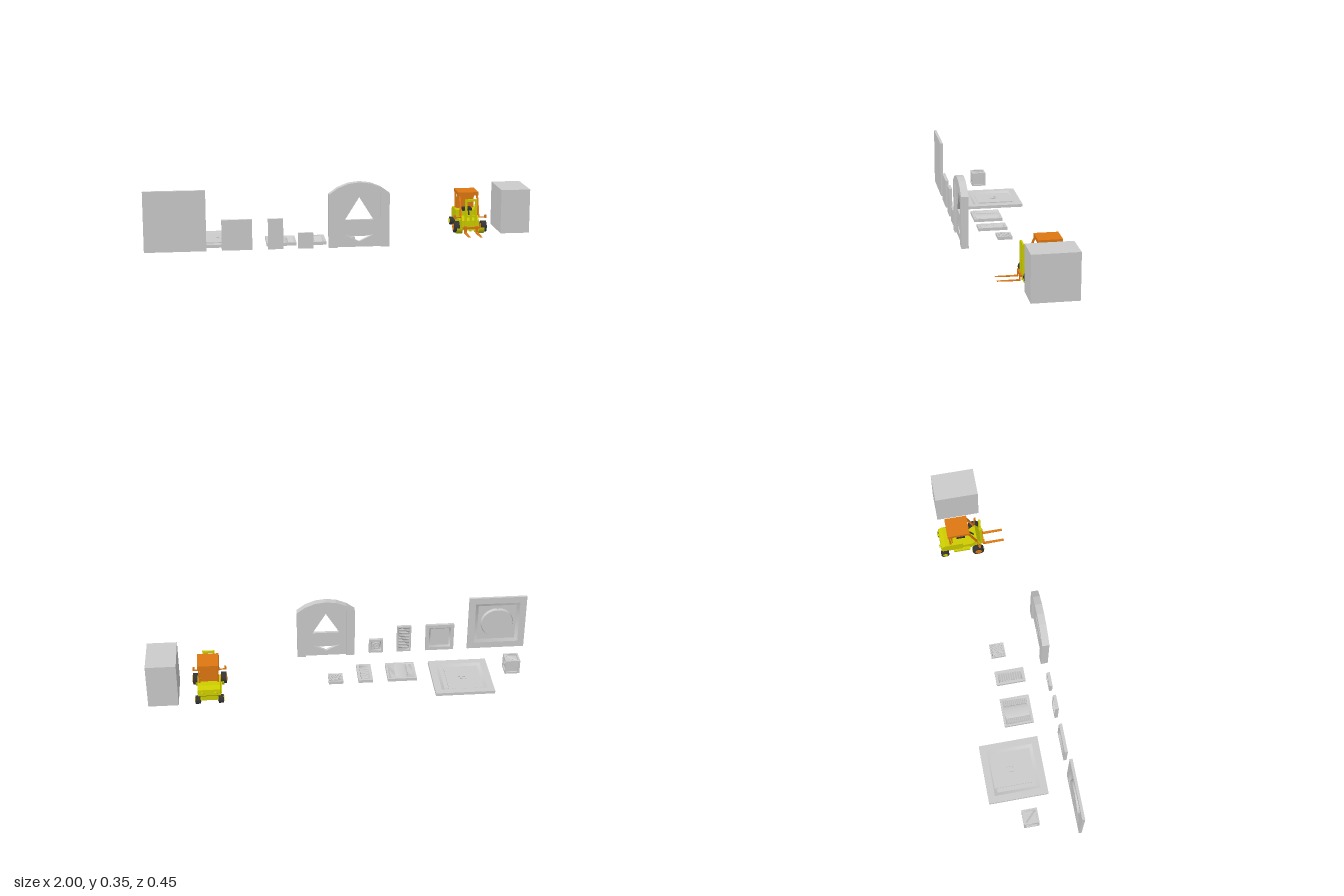
import * as THREE from 'three';

const grey = new THREE.MeshStandardMaterial({ color: 0xcccccc, side: THREE.DoubleSide });
const yellow = new THREE.MeshStandardMaterial({ color: 0xcccc00 });
const orange = new THREE.MeshStandardMaterial({ color: 0xdd7711 });
const dark = new THREE.MeshStandardMaterial({ color: 0x333333 });

function add(parent, name, geo, mat, x = 0, y = 0, z = 0) {
  const m = new THREE.Mesh(geo, mat);
  m.name = name;
  m.position.set(x, y, z);
  parent.add(m);
  return m;
}
const box = (p, name, mat, w, h, d, x, y, z) => add(p, name, new THREE.BoxGeometry(w, h, d), mat, x, y, z);

// Straight bar between two points
function bar(p, name, mat, a, b, w, d) {
  const A = new THREE.Vector3(...a), B = new THREE.Vector3(...b);
  const m = box(p, name, mat, w, A.distanceTo(B), d, ...A.clone().add(B).multiplyScalar(0.5).toArray());
  m.quaternion.setFromUnitVectors(new THREE.Vector3(0, 1, 0), B.sub(A).normalize());
  return m;
}
const poly = pts => new THREE.Shape(pts.map(p => new THREE.Vector2(...p)));
const rect = (w, h) => poly([[-w / 2, -h / 2], [w / 2, -h / 2], [w / 2, h / 2], [-w / 2, h / 2]]);
const extrude = (shape, depth) => new THREE.ExtrudeGeometry(shape, { depth, bevelEnabled: false, curveSegments: 8 });

// Panel lying in xy with its relief toward +z: thin back, frame and sloped rim
function panel(name, w, h, border, depth = 0.016, floor = 0.007) {
  const g = new THREE.Group();
  g.name = name;
  const iw = w - 2 * border, ih = h - 2 * border;
  const frame = rect(w, h);
  frame.holes.push(rect(iw, ih));
  add(g, 'frame', extrude(frame, depth), grey);
  box(g, 'backPlate', grey, w, h, floor, 0, 0, floor / 2);
  const s = Math.SQRT1_2, rise = depth - floor;
  const rim = new THREE.CylinderGeometry(s, s * 0.86, rise, 4, 1, true);
  rim.rotateY(Math.PI / 4).rotateX(Math.PI / 2).scale(iw, ih, 1);
  add(g, 'slopedRim', rim, grey, 0, 0, floor + rise / 2);
  return g;
}
function slats(g, n, w, h, x, z = 0.011) {
  for (let i = 0; i < n; i++) {
    const m = box(g, 'slat', grey, w, h / n * 0.75, 0.003, x, -h / 2 + (i + 0.5) * h / n, z);
    m.rotation.x = 0.45;
  }
}

function wallPanels(root) {
  const place = (g, x, y) => { g.position.set(x, y, 0.221); g.rotation.y = Math.PI; root.add(g); };
  // Large wall with split round cover
  const large = panel('largeWallPanel', 0.308, 0.308, 0.035, 0.014, 0.005);
  for (const a of [0, Math.PI]) {
    const half = add(large, 'halfDisc', new THREE.CylinderGeometry(0.08, 0.085, 0.013, 16, 1, false, a, Math.PI), grey, 0, 0, 0.0115);
    half.rotation.x = Math.PI / 2;
    half.position.x = a ? -0.003 : 0.003;
  }
  box(large, 'centreRib', grey, 0.012, 0.15, 0.012, 0, 0, 0.009);
  place(large, -0.846, 0.171);
  place(panel('squareWallPanel', 0.152, 0.155, 0.018), -0.54, 0.095);
  // Tall louvred wall
  const tall = panel('louvredWallPanel', 0.076, 0.155, 0.008);
  slats(tall, 14, 0.058, 0.138, 0);
  place(tall, -0.347, 0.095);
  // Small wall with round port
  const small = panel('smallWallPanel', 0.076, 0.08, 0.012);
  add(small, 'portRing', new THREE.TorusGeometry(0.018, 0.004, 6, 16), grey, 0, 0, 0.009);
  bar(small, 'portBar', grey, [-0.015, -0.015, 0.01], [0.015, 0.015, 0.01], 0.008, 0.006);
  place(small, -0.197, 0.057);
}

function floorPanels(root) {
  const place = (g, x, z) => { g.position.set(x, 0.002, z); g.rotation.x = -Math.PI / 2; root.add(g); };
  // Large floor with sunken hatch
  const large = panel('largeFloorPanel', 0.307, 0.307, 0.035, 0.0155, 0.007);
  const lid = rect(0.16, 0.2);
  lid.holes.push(rect(0.04, 0.03));
  add(large, 'hatch', extrude(lid, 0.005), grey, 0, 0.014, 0.007);
  box(large, 'hatchHandle', grey, 0.012, 0.03, 0.007, 0, 0.005, 0.0105);
  place(large, -0.617, -0.056);
  // Wide vent with curved middle cover
  const wide = panel('wideVentPanel', 0.152, 0.153, 0.01);
  for (const s of [-1, 1]) slats(wide, 13, 0.03, 0.13, s * 0.049);
  const cover = new THREE.CylinderGeometry(0.034, 0.034, 0.14, 16, 1, false, -Math.PI / 2, Math.PI);
  cover.scale(1, 1, 0.25);
  add(wide, 'curvedCover', cover, grey, 0, 0, 0.007);
  place(wide, -0.309, 0.019);
  const narrow = panel('narrowVentPanel', 0.076, 0.153, 0.014);
  slats(narrow, 10, 0.04, 0.122, 0);
  place(narrow, -0.117, 0.019);
  // Small grating
  const grate = panel('gratePanel', 0.076, 0.076, 0.005);
  for (let i = -3; i <= 3; i++) for (const s of [-1, 1]) {
    const c = i * 0.014, r = 0.032 - Math.abs(c) / 2;
    bar(grate, 'grateBar', grey, [c / 2 - r, s * (-c / 2 - r), 0.011], [c / 2 + r, s * (-c / 2 + r), 0.011], 0.004, 0.005);
  }
  place(grate, 0.038, -0.02);
}

function archway(root) {
  const g = new THREE.Group();
  g.name = 'archway';
  const arc = [];
  for (let i = 0; i <= 6; i++) {
    const t = (1 - i / 3) * 0.75;
    arc.push([0.153 * Math.sin(t) / Math.sin(0.75), 0.29 + 0.06 * (Math.cos(t) - Math.cos(0.75)) / (1 - Math.cos(0.75))]);
  }
  const frame = poly([[-0.153, 0.018], [-0.108, 0.018], [-0.108, 0.293], [0.108, 0.293], [0.108, 0.018], [0.153, 0.018], ...arc]);
  add(g, 'archFrame', extrude(frame, 0.037), grey, 0, 0, 0.191);
  const door = poly([[-0.108, 0.018], [0.108, 0.018], [0.108, 0.293], [-0.108, 0.293]]);
  door.holes.push(poly([[-0.072, 0.157], [0.072, 0.157], [0, 0.273]]));
  door.holes.push(poly([[-0.072, 0.08], [0, 0.045], [0.072, 0.08], [0.03, 0.073], [-0.03, 0.073]]));
  add(g, 'door', extrude(door, 0.016), grey, 0, 0, 0.202);
  box(g, 'doorSeam', grey, 0.003, 0.08, 0.018, 0, 0.116, 0.21);
  g.position.x = 0.0725;
  root.add(g);
}

function crate(root) {
  const g = new THREE.Group();
  g.name = 'crate';
  box(g, 'core', grey, 0.06, 0.06, 0.06, 0, 0, 0);
  const e = 0.034;
  for (const a of [-e, e]) for (const b of [-e, e]) {
    box(g, 'edge', grey, 0.076, 0.009, 0.009, 0, a, b);
    box(g, 'edge', grey, 0.009, 0.076, 0.009, a, 0, b);
    box(g, 'edge', grey, 0.009, 0.009, 0.076, a, b, 0);
  }
  for (const s of [-0.032, 0.032]) {
    bar(g, 'brace', grey, [-e, -e, s], [e, e, s], 0.008, 0.006);
    bar(g, 'brace', grey, [s, -e, -e], [s, e, e], 0.006, 0.008);
    bar(g, 'brace', grey, [-e, s, -e], [e, s, e], 0.008, 0.006);
  }
  g.position.set(-0.887, 0.057, -0.02);
  root.add(g);
}

function forklift(root) {
  const g = new THREE.Group();
  g.name = 'forklift';
  g.position.x = 0.69;
  root.add(g);
  // Side profile given as [z, y], extruded across x
  const profile = (name, mat, pts, w) => {
    const geo = extrude(poly(pts.map(([z, y]) => [-z, y])), w);
    geo.translate(0, 0, -w / 2).rotateY(Math.PI / 2);
    add(g, name, geo, mat);
  };
  profile('chassis', yellow, [[-0.2, 0.035], [0, 0.035], [0, 0.085], [-0.02, 0.11], [-0.05, 0.075], [-0.2, 0.075]], 0.09);
  profile('hood', yellow, [[-0.208, 0.065], [-0.1, 0.065], [-0.1, 0.122], [-0.195, 0.122], [-0.216, 0.108], [-0.218, 0.075]], 0.115);
  box(g, 'seat', dark, 0.05, 0.014, 0.045, 0, 0.128, -0.105);
  box(g, 'cabBack', orange, 0.085, 0.085, 0.006, 0, 0.163, -0.155);
  box(g, 'roof', orange, 0.108, 0.018, 0.118, 0, 0.216, -0.119);
  bar(g, 'steeringColumn', dark, [0, 0.09, -0.03], [0, 0.13, -0.055], 0.006, 0.006);
  for (const s of [-1, 1]) {
    // Cab posts and fenders
    bar(g, 'frontPost', orange, [s * 0.047, 0.1, -0.022], [s * 0.047, 0.21, -0.066], 0.009, 0.009);
    bar(g, 'rearPost', orange, [s * 0.047, 0.115, -0.165], [s * 0.047, 0.21, -0.17], 0.009, 0.009);
    const fender = add(g, 'frontFender', new THREE.CylinderGeometry(0.036, 0.036, 0.03, 12, 1, false, Math.PI, Math.PI), yellow, s * 0.058, 0.05, -0.02);
    fender.rotation.z = Math.PI / 2;
    box(g, 'sideStep', yellow, 0.02, 0.012, 0.09, s * 0.052, 0.045, -0.105);
    // Wheels with hubs
    for (const [name, x, z, r, w, y] of [['frontWheel', 0.072, -0.02, 0.03, 0.028, 0.05], ['rearWheel', 0.058, -0.2, 0.022, 0.026, 0.042]]) {
      add(g, name, new THREE.CylinderGeometry(r, r, w, 16), dark, s * x, y, z).rotation.z = Math.PI / 2;
      add(g, name + 'Hub', new THREE.CylinderGeometry(r * 0.6, r * 0.6, w + 0.006, 12), name === 'frontWheel' ? orange : yellow, s * x, y, z).rotation.z = Math.PI / 2;
    }
    // Lamps
    bar(g, 'lampArm', orange, [s * 0.045, 0.1, -0.02], [s * 0.083, 0.1, -0.015], 0.005, 0.005);
    box(g, 'headLamp', orange, 0.01, 0.018, 0.01, s * 0.082, 0.105, -0.012);
    add(g, 'rearLamp', new THREE.CylinderGeometry(0.007, 0.009, 0.012, 8), yellow, s * 0.033, 0.088, -0.22).rotation.x = -Math.PI / 2;
    // Mast and forks
    box(g, 'mastRail', yellow, 0.01, 0.175, 0.012, s * 0.026, 0.113, 0.005);
    box(g, 'forkShank', orange, 0.014, 0.035, 0.005, s * 0.03, 0.042, 0.02);
    profile('forkCarrier', orange, [[0.011, 0.045], [0.02, 0.045], [0.02, 0.055], [0.011, 0.055]], 0.09);
    const tine = box(g, 'forkTine', orange, 0.013, 0.005, 0.11, s * 0.03, 0.0255, 0.0735);
    const p = tine.geometry.attributes.position;
    for (let i = 0; i < p.count; i++) if (p.getZ(i) > 0) p.setY(i, p.getY(i) > 0 ? 0.002 : 0.0005);
  }
  for (const y of [0.04, 0.11, 0.195]) box(g, 'mastCrossbar', yellow, 0.062, 0.012, 0.008, 0, y, 0.004);
  box(g, 'liftCylinder', yellow, 0.012, 0.09, 0.008, 0, 0.075, 0.004);
}

export function createModel() {
  const root = new THREE.Group();
  root.name = 'depotKit';
  wallPanels(root);
  floorPanels(root);
  archway(root);
  crate(root);
  forklift(root);
  box(root, 'container', grey, 0.153, 0.232, 0.23, 0.9235, 0.134, -0.093);
  return root;
}
